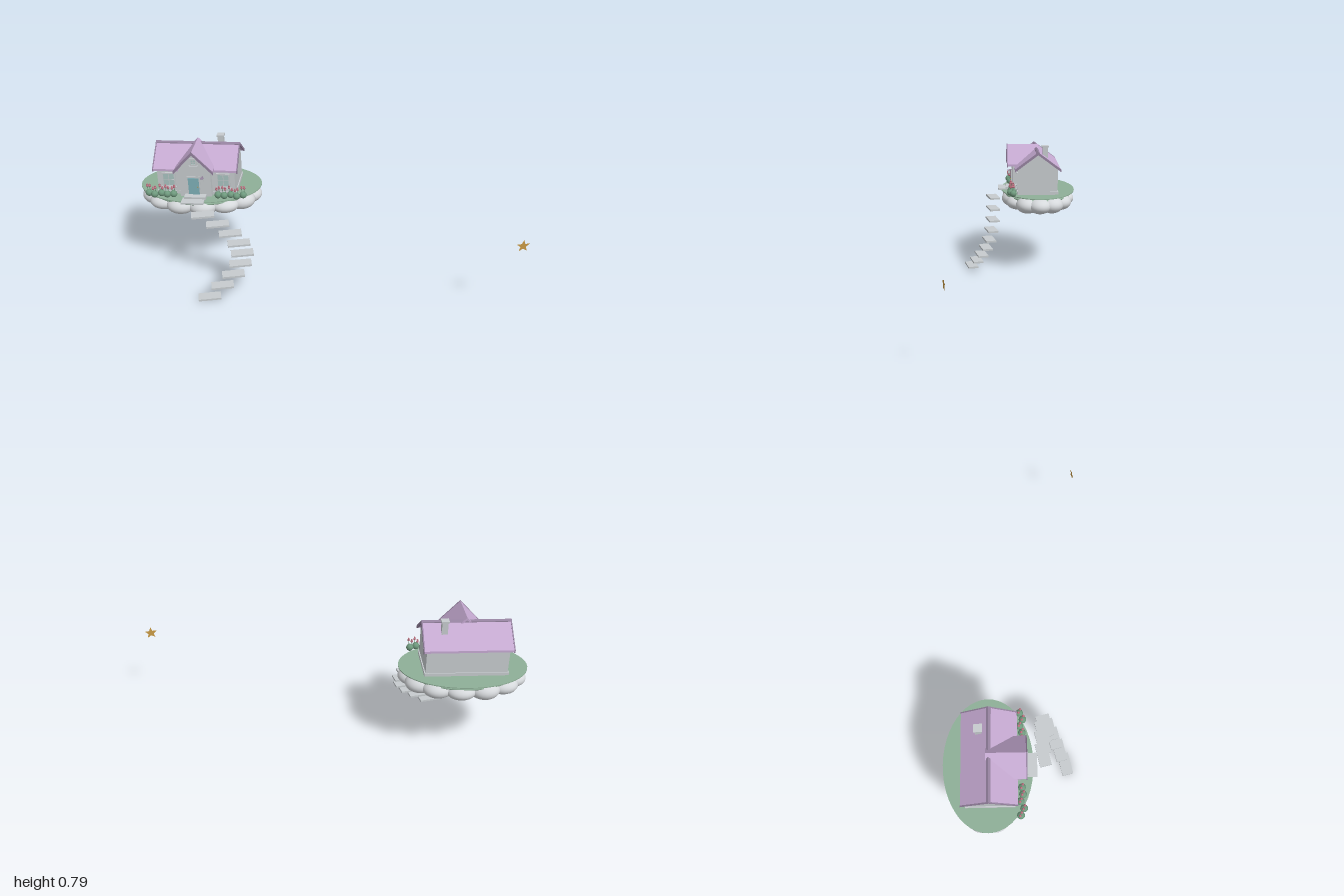
import * as THREE from 'three';

const mat = (name, color, side = THREE.FrontSide) => {
  const m = new THREE.MeshStandardMaterial({ color, side });
  m.name = name;
  return m;
};

export function createModel() {
  const stone = mat('pale stone', 0xc6cbce);
  const cloudMat = mat('cloud', 0xd6d9dc);
  const lilac = mat('lilac roof', 0xc6aad2);
  const mauve = mat('mauve trim', 0x95829f);
  const grass = mat('grass', 0x8eaf97);
  const leaf = mat('leaf', 0x6f9a7e);
  const petal = mat('petal', 0xbf7483);
  const teal = mat('teal door', 0x7fb0b8);
  const glass = mat('window glass', 0xa9c3c0);
  const gold = mat('gold', 0xc99a45, THREE.DoubleSide);

  const model = new THREE.Group();
  model.name = 'floatingCottage';
  const add = (parent, name, geo, material, x = 0, y = 0, z = 0) => {
    const m = new THREE.Mesh(geo, material);
    m.name = name;
    m.position.set(x, y, z);
    parent.add(m);
    return m;
  };
  const box = (parent, name, material, w, h, d, x, y, z) =>
    add(parent, name, new THREE.BoxGeometry(w, h, d), material, x, y, z);
  const extrude = (pts, depth) => new THREE.ExtrudeGeometry(
    new THREE.Shape(pts.map(p => new THREE.Vector2(...p))), { depth, bevelEnabled: false });
  // chevron roof section and pentagon wall section, run along z
  const chevron = (half, eave, ridge, t, depth) => extrude([
    [-half, eave], [-half, eave - t], [0, ridge - t], [half, eave - t], [half, eave], [0, ridge]], depth);
  const gableWall = (half, eave, ridge, depth) => extrude([
    [-half, 0], [half, 0], [half, eave], [0, ridge], [-half, eave]], depth);

  // Island, turned together with the house; its origin is the lawn surface
  const island = new THREE.Group();
  island.name = 'island';
  island.position.set(-0.645, 0.5, -0.315);
  island.rotation.y = -0.22;
  model.add(island);
  const lawn = add(island, 'lawn', new THREE.CylinderGeometry(1, 1, 0.005, 48), grass, 0, -0.004, -0.005);
  lawn.scale.set(0.348, 1, 0.235);
  const soil = add(island, 'turfMound', new THREE.SphereGeometry(1, 40, 16), grass, 0, -0.03, -0.005);
  soil.scale.set(0.3, 0.027, 0.212);
  const puff = new THREE.SphereGeometry(1, 24, 16);
  for (let i = 0; i < 13; i++) {
    const a = i / 13 * Math.PI * 2;
    const c = add(island, 'cloudPuff', puff, cloudMat,
      Math.cos(a) * 0.265, -0.062, Math.sin(a) * 0.16 - 0.005);
    c.scale.set(0.083, 0.049 + 0.004 * Math.sin(i * 2.3), 0.073);
  }

  // House body
  const house = new THREE.Group();
  house.name = 'house';
  house.position.z = 0.005;
  island.add(house);
  box(house, 'plinth', stone, 0.446, 0.018, 0.256, 0, 0.008, 0);
  const main = new THREE.Group();
  main.name = 'mainBlock';
  main.rotation.y = Math.PI / 2;
  house.add(main);
  add(main, 'walls', gableWall(0.123, 0.158, 0.25, 0.434), stone, 0, 0, -0.217);
  add(main, 'roof', chevron(0.142, 0.158, 0.263, 0.012, 0.464), lilac, 0, 0, -0.232);
  for (const z of [-0.237, 0.231])
    add(main, 'rakeBoard', chevron(0.144, 0.159, 0.266, 0.017, 0.006), mauve, 0, 0, z);
  add(main, 'ridgeCap', chevron(0.011, 0.259, 0.267, 0.005, 0.474), mauve, 0, 0, -0.237);

  // Front gable
  add(house, 'porchWalls', gableWall(0.088, 0.165, 0.27, 0.155), stone);
  add(house, 'porchRoof', chevron(0.108, 0.17, 0.284, 0.013, 0.2), lilac, 0, 0, -0.015);
  add(house, 'porchRake', chevron(0.11, 0.17, 0.287, 0.018, 0.006), mauve, 0, 0, 0.184);
  box(house, 'threshold', stone, 0.12, 0.016, 0.05, 0, 0.008, 0.172);

  // Door, lantern and windows
  box(house, 'doorFrame', stone, 0.074, 0.112, 0.008, -0.008, 0.07, 0.156);
  box(house, 'door', teal, 0.06, 0.1, 0.009, -0.008, 0.066, 0.158);
  add(house, 'doorKnob', new THREE.SphereGeometry(0.003, 10, 8), gold, 0.015, 0.062, 0.164);
  box(house, 'lanternArm', mauve, 0.004, 0.004, 0.022, 0.044, 0.126, 0.163);
  box(house, 'lantern', stone, 0.013, 0.018, 0.013, 0.044, 0.112, 0.174);
  box(house, 'lanternCap', mauve, 0.017, 0.004, 0.017, 0.044, 0.123, 0.174);
  const window_ = (x, y, z, w, h) => {
    const g = new THREE.Group();
    g.name = 'window';
    g.position.set(x, y, z);
    house.add(g);
    box(g, 'glass', glass, w, h, 0.006, 0, 0, 0.001);
    for (const s of [-1, 1]) {
      box(g, 'jamb', stone, 0.007, h + 0.007, 0.014, s * w / 2, 0, 0.003);
      box(g, 'rail', stone, w + 0.007, 0.007, 0.014, 0, s * h / 2, 0.003);
    }
    box(g, 'mullion', stone, 0.003, h, 0.008, 0, 0, 0.002);
    box(g, 'transom', stone, w, 0.003, 0.008, 0, 0, 0.002);
    box(g, 'sill', stone, w + 0.016, 0.006, 0.02, 0, -h / 2 - 0.004, 0.006);
  };
  window_(-0.153, 0.088, 0.123, 0.068, 0.08);
  window_(0.153, 0.088, 0.123, 0.068, 0.08);
  window_(0, 0.214, 0.155, 0.032, 0.036);

  // Chimney
  box(house, 'chimney', stone, 0.032, 0.1, 0.032, 0.122, 0.235, -0.05);
  box(house, 'chimneyCap', stone, 0.042, 0.009, 0.042, 0.122, 0.286, -0.05);

  // Flower beds on both sides of the door
  const bush = new THREE.SphereGeometry(0.02, 16, 12);
  const stem = new THREE.CylinderGeometry(0.0015, 0.0015, 0.03, 6);
  const bloom = new THREE.SphereGeometry(0.007, 10, 8);
  for (const s of [-1, 1]) {
    for (let i = 0; i < 5; i++) {
      const x = s * (0.125 + i * 0.035), z = 0.163 + 0.009 * Math.sin(i * 2.6);
      add(house, 'bush', bush, leaf, x, 0.017, z);
      for (const k of [-1, 1]) {
        const fx = x + k * 0.008, fy = 0.055 + 0.008 * Math.sin(i * 1.9 + k);
        add(house, 'flowerStem', stem, leaf, fx, fy - 0.015, z + k * 0.004);
        add(house, 'flower', bloom, petal, fx, fy, z + k * 0.004);
        add(house, 'flowerTip', bloom, petal, fx, fy + 0.009, z + k * 0.004).scale.setScalar(0.7);
      }
    }
  }
  box(island, 'doorStep', stone, 0.125, 0.01, 0.062, -0.008, 0, 0.218);

  // Floating stairway curving up to the island
  for (let i = 0; i < 9; i++)
    box(model, 'floatingStep', stone, 0.125, 0.011, 0.063,
      -0.653 + 0.2 * Math.sin(i * Math.PI / 8), 0.0055 + 0.0558 * i, 0.12 - 0.0184 * i);

  // Flat five-pointed star
  const pts = [];
  for (let i = 0; i < 10; i++) {
    const r = i % 2 ? 0.016 : 0.037, a = Math.PI / 2 + i * Math.PI / 5;
    pts.push(new THREE.Vector2(Math.cos(a) * r, Math.sin(a) * r));
  }
  add(model, 'star', new THREE.ShapeGeometry(new THREE.Shape(pts)), gold, 0.962, 0.45, 0.56);
  return model;
}
